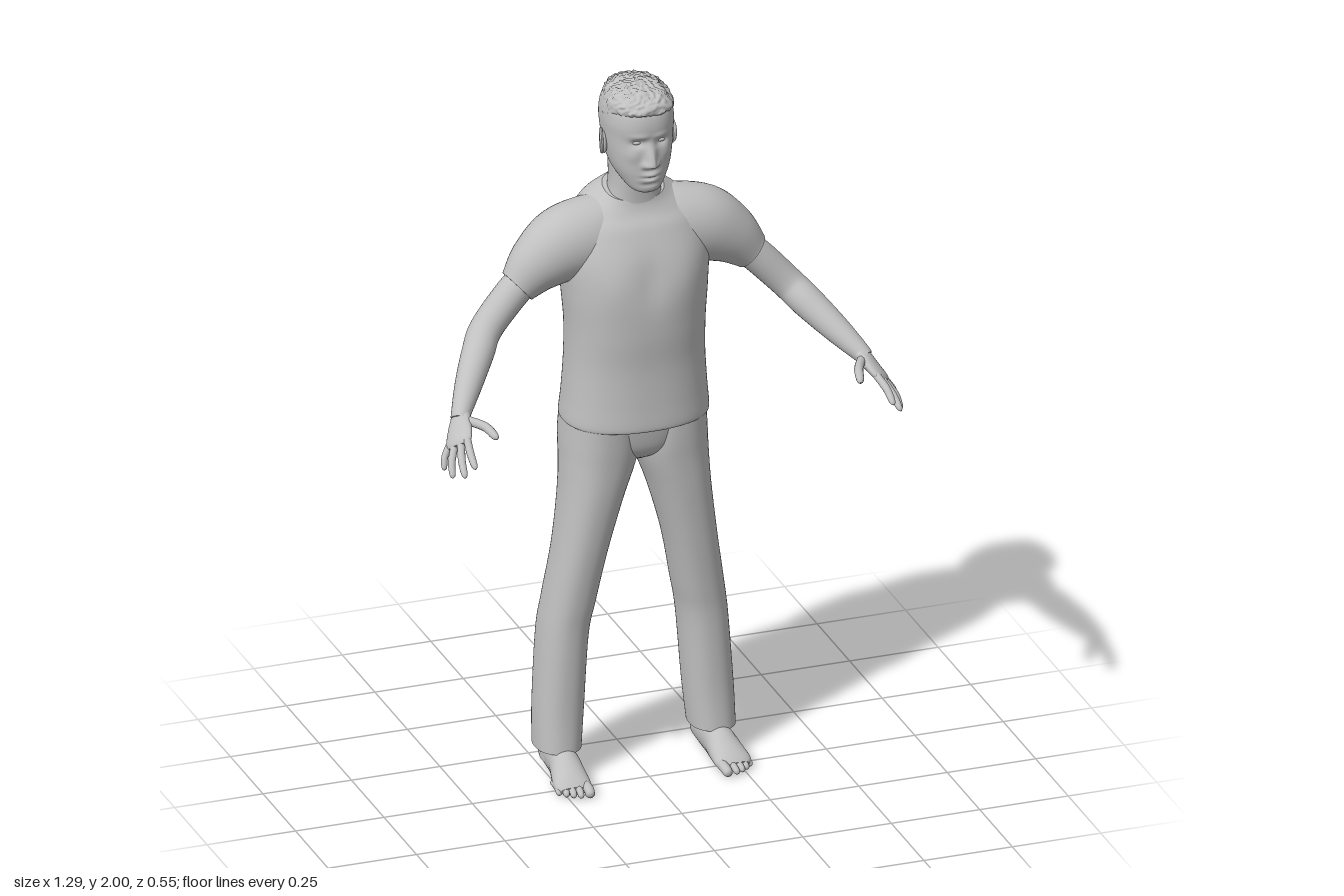
import * as THREE from 'three';

const V3 = THREE.Vector3;
const smooth = THREE.MathUtils.smoothstep;
const bump = (v, c, w) => Math.exp(-(((v - c) / w) ** 2));

// Smoothly interpolate rows of numbers, giving `steps` rows per interval.
function sampleKeys(keys, steps) {
  const rows = [];
  const last = keys.length - 1;
  for (let k = 0; k <= last * steps; k++) {
    const i = Math.min(Math.floor(k / steps), last - 1);
    const t = k / steps - i;
    const [a, b, c, d] = [keys[Math.max(i - 1, 0)], keys[i], keys[i + 1], keys[Math.min(i + 2, last)]];
    rows.push(b.map((_, n) => 0.5 * (2 * b[n] + (c[n] - a[n]) * t
      + (2 * a[n] - 5 * b[n] + 4 * c[n] - d[n]) * t * t
      + (3 * b[n] - a[n] - 3 * c[n] + d[n]) * t * t * t)));
  }
  return rows;
}

// Closed surface through a list of rings, with sharp flat caps.
function skin(rings) {
  const pos = [], index = [], n = rings[0].length;
  const put = (ring) => {
    const start = pos.length / 3;
    ring.forEach((p) => pos.push(p.x, p.y, p.z));
    return start;
  };
  rings.forEach(put);
  for (let i = 0; i < rings.length - 1; i++) {
    for (let j = 0; j < n; j++) {
      const a = i * n + j, b = i * n + ((j + 1) % n);
      index.push(a, a + n, b, b, a + n, b + n);
    }
  }
  [rings[0], rings[rings.length - 1]].forEach((ring, end) => {
    const s = put(ring);
    const mid = ring.reduce((m, p) => m.add(p), new V3()).divideScalar(n);
    const c = put([mid]);
    for (let j = 0; j < n; j++) {
      const k = (j + 1) % n;
      if (end) index.push(c, s + k, s + j);
      else index.push(c, s + j, s + k);
    }
  });
  const g = new THREE.BufferGeometry();
  g.setAttribute('position', new THREE.Float32BufferAttribute(pos, 3));
  g.setIndex(index);
  g.computeVertexNormals();
  return g;
}

// Level rounded sections; keys: [y, centreX, halfWidth, zFront, zBack], rising.
function loft(keys, { steps = 6, segs = 48, power = 2.3, rule } = {}) {
  return skin(sampleKeys(keys, steps).map(([y, cx, hx, zf, zb]) => {
    const ring = [];
    for (let j = 0; j < segs; j++) {
      const t = (j / segs) * Math.PI * 2, c = Math.cos(t), s = Math.sin(t);
      const p = new V3(
        cx + hx * Math.sign(c) * Math.abs(c) ** (2 / power), y,
        (zf + zb) / 2 + ((zf - zb) / 2) * Math.sign(s) * Math.abs(s) ** (2 / power));
      if (rule) rule(p);
      ring.push(p);
    }
    return ring;
  }));
}

// Oval tube along a path; keys: [x, y, z, radius along ref, other radius].
function limb(keys, { ref = [0, 0, 1], steps = 6, segs = 24, rule } = {}) {
  const rows = sampleKeys(keys, steps);
  const pts = rows.map((r) => new V3(r[0], r[1], r[2]));
  return skin(rows.map((r, i) => {
    const T = pts[Math.min(i + 1, pts.length - 1)].clone().sub(pts[Math.max(i - 1, 0)]).normalize();
    const U = new V3(...ref).addScaledVector(T, -T.dot(new V3(...ref))).normalize();
    const W = U.clone().cross(T);
    const ring = [];
    for (let j = 0; j < segs; j++) {
      const t = (j / segs) * Math.PI * 2;
      const p = pts[i].clone().addScaledVector(U, r[3] * Math.cos(t)).addScaledVector(W, r[4] * Math.sin(t));
      if (rule) rule(p);
      ring.push(p);
    }
    return ring;
  }));
}

// Finger or toe: a jointed taper with a round tip.
function digit(a, m, b, r, rule) {
  const tip = new V3(...b), near = tip.clone().lerp(new V3(...m), 0.22);
  return limb([[...a, r, r], [...m, r, r], [...near.toArray(), r * 0.82, r * 0.82],
    [...tip.toArray(), r * 0.15, r * 0.15]], { ref: [0.3, 0.5, 0.2], steps: 4, segs: 12, rule });
}

function mirrored(g) {
  const m = g.clone().scale(-1, 1, 1), ix = m.index;
  for (let i = 0; i < ix.count; i += 3) {
    const t = ix.getX(i);
    ix.setX(i, ix.getX(i + 1));
    ix.setX(i + 1, t);
  }
  m.computeVertexNormals();
  return m;
}

export function createModel() {
  const model = new THREE.Group();
  const grey = new THREE.MeshStandardMaterial({ color: 0xc0c0c0 });
  grey.name = 'plainGrey';
  const add = (name, g) => {
    const mesh = new THREE.Mesh(g, grey);
    mesh.name = name;
    model.add(mesh);
  };
  const pair = (name, g) => {
    add(name + 'Left', g);
    add(name + 'Right', mirrored(g));
  };

  // Shirt body: spine hollow at the back, neckline dipping to the front
  add('shirtBody', loft([
    [1.02, 0, 0.197, 0.028, -0.27], [1.032, 0, 0.202, 0.033, -0.275], [1.1, 0, 0.196, 0.03, -0.267],
    [1.2, 0, 0.19, 0.028, -0.262], [1.3, 0, 0.19, 0.034, -0.264], [1.4, 0, 0.198, 0.032, -0.268],
    [1.5, 0, 0.205, 0.012, -0.268], [1.58, 0, 0.185, -0.02, -0.256], [1.63, 0, 0.145, -0.045, -0.238],
    [1.66, 0, 0.105, -0.056, -0.212], [1.678, 0, 0.083, -0.06, -0.192]], {
    segs: 72,
    rule: (p) => {
      if (p.z < -0.15) p.z += 0.016 * bump(p.x, 0, 0.035) * bump(p.y, 1.38, 0.2);
      if (p.z > -0.05) p.z += 0.006 * (bump(Math.abs(p.x), 0.1, 0.05) - bump(p.x, 0, 0.03)) * bump(p.y, 1.45, 0.07);
      p.y -= 0.3 * (p.z + 0.125) * smooth(p.y, 1.58, 1.68);
    },
  }));
  pair('sleeve', limb([[0.05, 1.555, -0.135, 0.08, 0.105], [0.12, 1.545, -0.135, 0.095, 0.11],
    [0.2, 1.53, -0.13, 0.092, 0.105], [0.27, 1.49, -0.124, 0.075, 0.083],
    [0.322, 1.443, -0.118, 0.053, 0.058], [0.331, 1.435, -0.117, 0.05, 0.054]], { segs: 36 }));

  // Trousers
  add('trouserSeat', loft([[0.9, 0, 0.03, -0.07, -0.16], [0.925, 0, 0.08, -0.03, -0.215],
    [0.96, 0, 0.14, -0.008, -0.245], [1.04, 0, 0.188, 0.005, -0.262]]));
  pair('trouserLeg', loft([
    [0.08, 0.218, 0.062, -0.042, -0.2], [0.2, 0.211, 0.066, -0.05, -0.21], [0.4, 0.197, 0.066, -0.05, -0.222],
    [0.5, 0.181, 0.068, -0.042, -0.217], [0.65, 0.154, 0.071, -0.026, -0.21], [0.8, 0.124, 0.083, -0.012, -0.224],
    [0.9, 0.103, 0.098, -0.005, -0.245], [0.96, 0.097, 0.102, 0, -0.262], [1.04, 0.097, 0.096, 0.005, -0.26]]));

  // Bare feet with flat soles
  const floor = (p) => { p.y = Math.max(p.y, 0); };
  pair('ankle', loft([[0.03, 0.218, 0.036, -0.085, -0.19], [0.08, 0.218, 0.036, -0.085, -0.185],
    [0.14, 0.216, 0.04, -0.08, -0.18]], { segs: 24 }));
  pair('foot', limb([[0.215, 0.034, -0.204, 0.012, 0.012], [0.215, 0.036, -0.192, 0.03, 0.032],
    [0.216, 0.045, -0.14, 0.036, 0.048], [0.218, 0.045, -0.07, 0.04, 0.052], [0.223, 0.03, -0.01, 0.048, 0.036],
    [0.227, 0.02, 0.03, 0.05, 0.022], [0.229, 0.015, 0.05, 0.038, 0.012]], { ref: [1, 0, 0], rule: floor }));
  for (let i = 0; i < 5; i++) {
    const x = [0.192, 0.217, 0.235, 0.251, 0.266][i];
    const z = [0.085, 0.083, 0.075, 0.063, 0.047][i];
    const r = i ? 0.0095 : 0.014;
    pair('toe' + (i + 1), digit([x, 0.02, z - 0.06], [x + 0.001, 0.018, z - 0.025], [x + 0.004, 0.009, z], r, floor));
  }

  // Arms, hands and fingers
  pair('arm', limb([[0.28, 1.478, -0.12, 0.045, 0.045], [0.345, 1.42, -0.115, 0.045, 0.046],
    [0.425, 1.335, -0.098, 0.045, 0.044], [0.465, 1.292, -0.052, 0.044, 0.044],
    [0.52, 1.235, 0.022, 0.036, 0.037], [0.565, 1.188, 0.088, 0.027, 0.026], [0.573, 1.178, 0.1, 0.027, 0.022]]));
  pair('palm', limb([[0.558, 1.195, 0.075, 0.022, 0.022], [0.57, 1.179, 0.1, 0.03, 0.02],
    [0.583, 1.16, 0.128, 0.038, 0.017], [0.596, 1.142, 0.158, 0.04, 0.014], [0.601, 1.134, 0.17, 0.032, 0.009]],
  { ref: [-0.04, 0.025, 0.06] }));
  const fingers = {
    indexFinger: [[0.577, 1.158, 0.165], [0.588, 1.137, 0.222], [0.591, 1.11, 0.273], 0.0105],
    middleFinger: [[0.59, 1.148, 0.157], [0.608, 1.115, 0.211], [0.616, 1.083, 0.261], 0.0105],
    ringFinger: [[0.602, 1.138, 0.147], [0.626, 1.1, 0.184], [0.634, 1.065, 0.214], 0.01],
    littleFinger: [[0.608, 1.132, 0.128], [0.632, 1.1, 0.147], [0.64, 1.067, 0.163], 0.009],
    thumb: [[0.56, 1.18, 0.112], [0.528, 1.182, 0.174], [0.513, 1.168, 0.23], 0.0125],
  };
  for (const [name, [a, m, b, r]] of Object.entries(fingers)) pair(name, digit(a, m, b, r));

  // Neck and head; the face is modelled by soft bumps on the front
  add('neck', loft([[1.6, 0, 0.09, -0.06, -0.2], [1.66, 0, 0.074, -0.058, -0.186],
    [1.71, 0, 0.068, -0.054, -0.184], [1.79, 0, 0.07, -0.05, -0.186]]));
  const face = (p) => {
    const ax = Math.abs(p.x), y = p.y;
    const nose = smooth(y, 1.778, 1.796) * (1 - smooth(y, 1.796, 1.872));
    const lips = bump(y, 1.765, 0.007) + bump(y, 1.748, 0.008) - 0.5 * bump(y, 1.7565, 0.003);
    p.z += smooth(p.z, -0.06, -0.02) * (
      nose * (0.029 * bump(ax, 0, 0.013) + 0.012 * bump(ax, 0.017, 0.008) * bump(y, 1.792, 0.012))
      + 0.004 * bump(y, 1.876, 0.008) * bump(ax, 0.03, 0.024)
      - 0.012 * bump(y, 1.856, 0.011) * bump(ax, 0.033, 0.018)
      + 0.009 * lips * bump(ax, 0, 0.021)
      - 0.004 * bump(y, 1.735, 0.006) * bump(ax, 0, 0.025)
      + 0.005 * bump(y, 1.82, 0.02) * bump(ax, 0.05, 0.02));
  };
  add('head', loft([[1.704, 0, 0.022, -0.008, -0.06], [1.716, 0, 0.044, 0.007, -0.1], [1.75, 0, 0.068, 0.012, -0.165],
    [1.78, 0, 0.08, 0.014, -0.187], [1.82, 0, 0.088, 0.013, -0.203], [1.86, 0, 0.092, 0.014, -0.216],
    [1.9, 0, 0.094, 0.018, -0.221], [1.94, 0, 0.088, 0.01, -0.212], [1.97, 0, 0.07, -0.015, -0.185],
    [1.988, 0, 0.04, -0.05, -0.145], [1.993, 0, 0.008, -0.09, -0.11]], { steps: 9, segs: 112, rule: face }));

  // Short hair, rough on the crown and lower at the back
  const rough = (p) => {
    const n = Math.sin(p.x * 210 + 3 * Math.sin(p.z * 90)) * Math.sin(p.z * 190 + 2 * Math.sin(p.x * 130 + p.y * 170));
    const k = 1 + 0.035 * n;
    p.x *= k;
    p.z = -0.1 + (p.z + 0.1) * k;
    p.y += 0.004 * n * smooth(p.y, 1.95, 1.985) - 0.06 * smooth(-p.z, 0, 0.2) * (1 - smooth(p.y, 1.935, 1.975));
  };
  add('hair', loft([[1.935, 0, 0.09, 0.014, -0.216], [1.945, 0, 0.092, 0.02, -0.218], [1.965, 0, 0.083, 0.01, -0.204],
    [1.982, 0, 0.064, -0.018, -0.178], [1.993, 0, 0.04, -0.05, -0.145], [1.997, 0, 0.006, -0.09, -0.108]],
  { steps: 7, segs: 96, rule: rough }));

  // Eyes and ears
  const ball = (sx, sy, sz) => new THREE.SphereGeometry(1, 20, 14).scale(sx, sy, sz);
  pair('eye', ball(0.013, 0.006, 0.008).translate(0.033, 1.856, -0.005));
  pair('ear', ball(0.009, 0.032, 0.018).rotateY(0.25).rotateX(-0.15).translate(0.093, 1.828, -0.098));
  pair('earRim', new THREE.TorusGeometry(0.02, 0.005, 8, 28).scale(0.85, 1.45, 1)
    .rotateY(Math.PI / 2 + 0.3).rotateX(-0.15).translate(0.099, 1.832, -0.1));
  return model;
}
